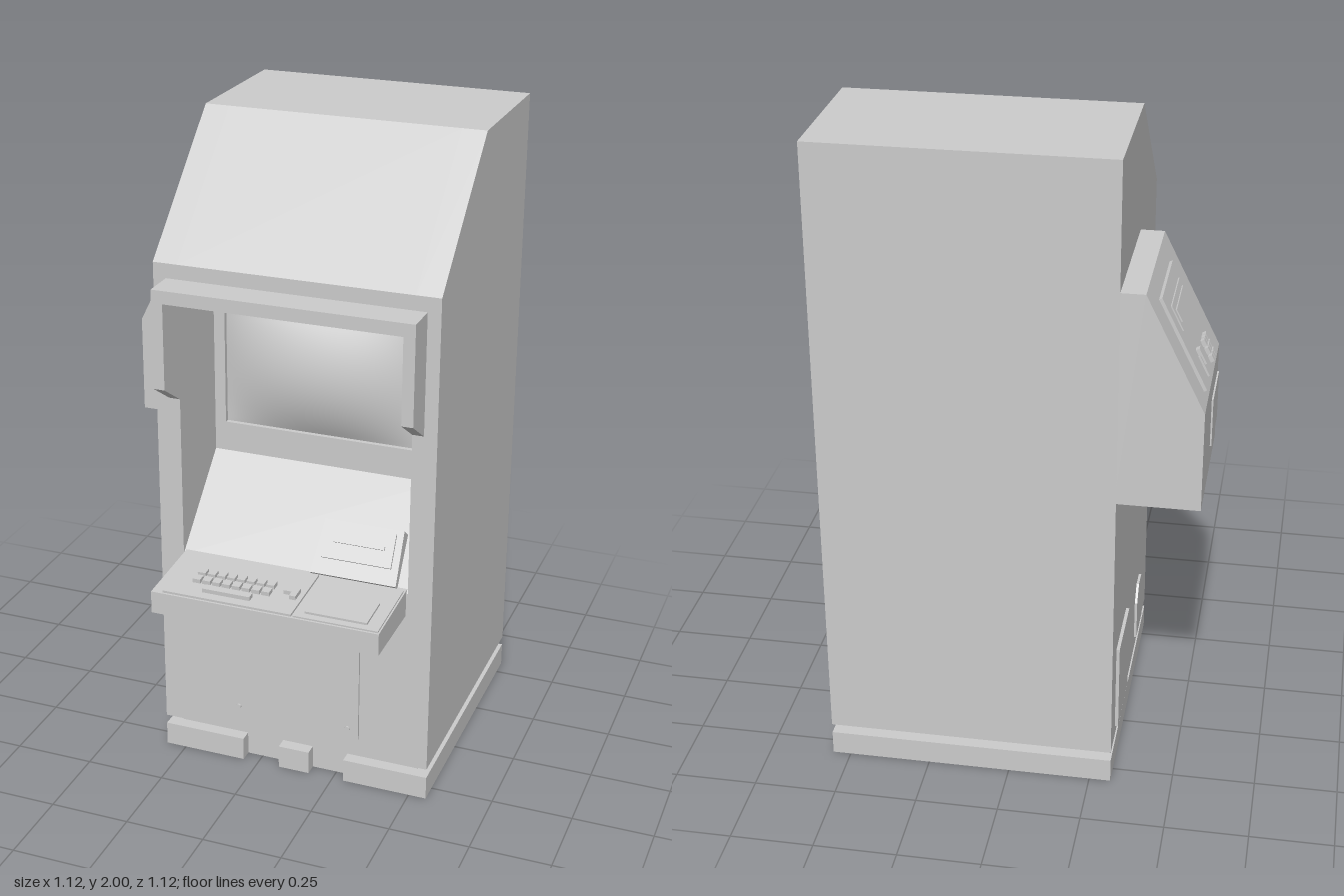
import * as THREE from 'three';

const grey = new THREE.MeshStandardMaterial({ color: 0xcccccc });

function add(parent, name, geometry) {
  const mesh = new THREE.Mesh(geometry, grey);
  mesh.name = name;
  parent.add(mesh);
  return mesh;
}

// Box given by its minimum and maximum on each axis
function box(parent, name, x0, x1, y0, y1, z0, z1) {
  const g = new THREE.BoxGeometry(x1 - x0, y1 - y0, z1 - z0);
  g.translate((x0 + x1) / 2, (y0 + y1) / 2, (z0 + z1) / 2);
  return add(parent, name, g);
}

const polygon = (pts) => new THREE.Shape(pts.map(([x, y]) => new THREE.Vector2(x, y)));
const extrude = (shape, depth) =>
  new THREE.ExtrudeGeometry(shape, { depth, bevelEnabled: false });

// Side profile of [z, y] points swept from x0 to x1
function sideProfile(parent, name, pts, x0, x1) {
  const g = extrude(polygon(pts.map(([z, y]) => [-z, y])), x1 - x0);
  g.rotateY(Math.PI / 2).translate(x0, 0, 0);
  return add(parent, name, g);
}

// Front outline of [x, y] points swept from z0 to z1
function frontProfile(parent, name, pts, z0, z1) {
  return add(parent, name, extrude(polygon(pts), z1 - z0).translate(0, 0, z0));
}

// Plan outline of [x, z] points swept from y0 to y1
function planProfile(parent, name, pts, y0, y1) {
  const g = extrude(polygon(pts.map(([x, z]) => [x, -z])), y1 - y0);
  return add(parent, name, g.rotateX(-Math.PI / 2).translate(0, y0, 0));
}

function rectangle(x0, x1, y0, y1) {
  return [[x0, y0], [x1, y0], [x1, y1], [x0, y1]];
}

function cabinet(root) {
  const outer = [[0.31, 1.63], [-0.09, 2], [-0.56, 2], [-0.56, 0.105], [0.31, 0.105]];
  sideProfile(root, 'rightCabinetWall', outer, -0.315, -0.24);
  sideProfile(root, 'leftCabinetWall', outer, 0.48, 0.555);
  // Centre section carries the recess and the sloping desk panel
  sideProfile(root, 'cabinetCentre', [...outer, [0.31, 0.7], [0.05, 0.945],
    [0.03, 0.945], [0.03, 1.545], [0.31, 1.545]], -0.24, 0.48);

  box(root, 'plinthNeck', -0.275, 0.515, 0.07, 0.11, -0.52, 0.27);
  // Plinth with two notches either side of a small foot block
  planProfile(root, 'plinth', [[-0.315, -0.56], [0.555, -0.56], [0.555, 0.31],
    [0.285, 0.31], [0.285, 0.27], [0.17, 0.27], [0.17, 0.31], [0.07, 0.31],
    [0.07, 0.27], [-0.05, 0.27], [-0.05, 0.31], [-0.315, 0.31]], 0, 0.075);

  // Service doors and power inlet
  box(root, 'frontDoor', -0.095, 0.335, 0.165, 0.585, 0.305, 0.318);
  for (const x of [-0.06, 0.3]) {
    const lock = add(root, 'doorLock', new THREE.CylinderGeometry(0.008, 0.008, 0.008, 12));
    lock.rotation.x = Math.PI / 2;
    lock.position.set(x, 0.2, 0.32);
  }
  box(root, 'sideDoor', -0.325, -0.31, 0.14, 0.42, -0.47, -0.24);
  const house = (s) => [[-0.07, -0.09], [0.07, -0.09], [0.07, 0.04], [0.03, 0.09],
    [-0.03, 0.09], [-0.07, 0.04]].map(([z, y]) => [0.075 + z * s, 0.24 + y * s]);
  const frame = polygon(house(1).map(([z, y]) => [-z, y]));
  frame.holes.push(polygon(house(0.78).map(([z, y]) => [-z, y])));
  add(root, 'powerInletFrame',
    extrude(frame, 0.012).rotateY(Math.PI / 2).translate(-0.323, 0, 0));
}

function display(root) {
  // Bezel with a rectangular opening
  const bezel = polygon(rectangle(-0.24, 0.48, 0.945, 1.545));
  bezel.holes.push(polygon(rectangle(-0.205, 0.445, 1.04, 1.4)));
  add(root, 'screenBezel', extrude(bezel, 0.02).translate(0, 0, 0.03));

  // Bulging glass
  const glass = new THREE.PlaneGeometry(0.65, 0.36, 32, 24);
  const p = glass.attributes.position;
  for (let i = 0; i < p.count; i++) {
    const u = p.getX(i) / 0.325, v = p.getY(i) / 0.18;
    p.setZ(i, 0.05 * (1 - u * u) * (1 - v * v));
  }
  glass.computeVertexNormals();
  add(root, 'screenGlass', glass.translate(0.12, 1.22, 0.035));
  box(root, 'lampStrip', -0.05, 0.29, 1.43, 1.475, 0.04, 0.07);

  // Hood: two cheeks and a top
  const cheek = [[0.3, 1.585], [0.3, 1.205], [0.415, 1.28], [0.415, 1.585]];
  sideProfile(root, 'rightHoodCheek', cheek, -0.275, -0.24);
  sideProfile(root, 'leftHoodCheek', cheek, 0.48, 0.515);
  box(root, 'hoodTop', -0.24, 0.48, 1.545, 1.585, 0.3, 0.415);
}

function desk(root) {
  sideProfile(root, 'shelf', [[0.3, 0.625], [0.56, 0.625], [0.56, 0.695], [0.3, 0.71]],
    -0.235, 0.475);

  // Items lying on the gently sloping shelf top, measured from its front edge
  const top = new THREE.Group();
  top.name = 'deskTop';
  top.position.set(0, 0.695, 0.56);
  top.rotation.x = Math.atan(0.015 / 0.26);
  root.add(top);
  box(top, 'keyboardPlate', -0.2, 0.205, -0.005, 0.007, -0.24, -0.006);
  for (const z of [-0.145, -0.105]) {
    for (let i = 0; i < 8; i++) {
      const x = -0.135 + i * 0.0314;
      box(top, 'key', x, x + 0.025, 0, 0.02, z, z + 0.027);
    }
  }
  box(top, 'spaceBar', -0.085, 0.065, 0, 0.02, -0.06, -0.035);
  planProfile(top, 'enterKey', [[0.145, -0.13], [0.19, -0.13], [0.19, -0.083],
    [0.17, -0.083], [0.17, -0.105], [0.145, -0.105]], 0, 0.02);
  box(top, 'sidePlate', 0.211, 0.47, -0.005, 0.005, -0.24, -0.006);
  box(top, 'writingPad', 0.24, 0.43, 0, 0.012, -0.145, -0.028);

  // Ticket printer resting on the sloping panel
  const printer = new THREE.Group();
  printer.name = 'ticketPrinter';
  printer.position.set(0.31, 0.72, 0.32);
  printer.rotation.x = -Math.atan2(0.105, 0.13);
  root.add(printer);
  frontProfile(printer, 'printerBody', [[-0.135, 0], [0.135, 0], [0.125, 0.17], [-0.125, 0.17]],
    -0.06, 0);
  frontProfile(printer, 'printerFace', [[-0.11, 0.05], [0.11, 0.05], [0.105, 0.155],
    [-0.105, 0.155]], -0.01, 0.008);
  box(printer, 'printerSlot', -0.08, 0.08, 0.1, 0.112, 0, 0.014);
}

function paymentBox(root) {
  frontProfile(root, 'paymentHousing', [[-0.31, 0.975], [-0.31, 1.625], [-0.385, 1.625],
    [-0.555, 1.28], [-0.555, 0.975]].reverse(), -0.56, -0.1);
  box(root, 'returnFlap', -0.56, -0.55, 1.05, 1.2, -0.31, -0.12);

  // Panel frame: x along the cabinet, y up the slope, z outward
  const panel = new THREE.Group();
  panel.name = 'paymentPanel';
  const up = new THREE.Vector3(0.17, 0.345, 0).normalize();
  const out = new THREE.Vector3(-up.y, up.x, 0);
  panel.applyMatrix4(new THREE.Matrix4().makeBasis(new THREE.Vector3(0, 0, 1), up, out));
  panel.position.set(-0.47, 1.4525, -0.335);
  root.add(panel);
  box(panel, 'panelPlate', -0.135, 0.135, -0.165, 0.135, -0.005, 0.01);
  box(panel, 'noteWindow', -0.095, 0.105, 0.01, 0.09, 0, 0.014);
  box(panel, 'noteSlot', -0.08, 0.09, 0.03, 0.07, 0, 0.018);
  box(panel, 'coinPlate', -0.066, -0.034, -0.155, -0.09, 0, 0.016);
  box(panel, 'coinSlot', -0.06, -0.04, -0.12, -0.07, 0, 0.022);
  for (let r = 0; r < 3; r++) {
    for (let c = 0; c < 3; c++) {
      const x = 0.025 + c * 0.022, y = -0.155 + r * 0.026;
      box(panel, 'keypadButton', x, x + 0.017, y, y + 0.02, 0, 0.022);
    }
  }
}

export function createModel() {
  const root = new THREE.Group();
  root.name = 'terminalKiosk';
  cabinet(root);
  display(root);
  desk(root);
  paymentBox(root);
  return root;
}
